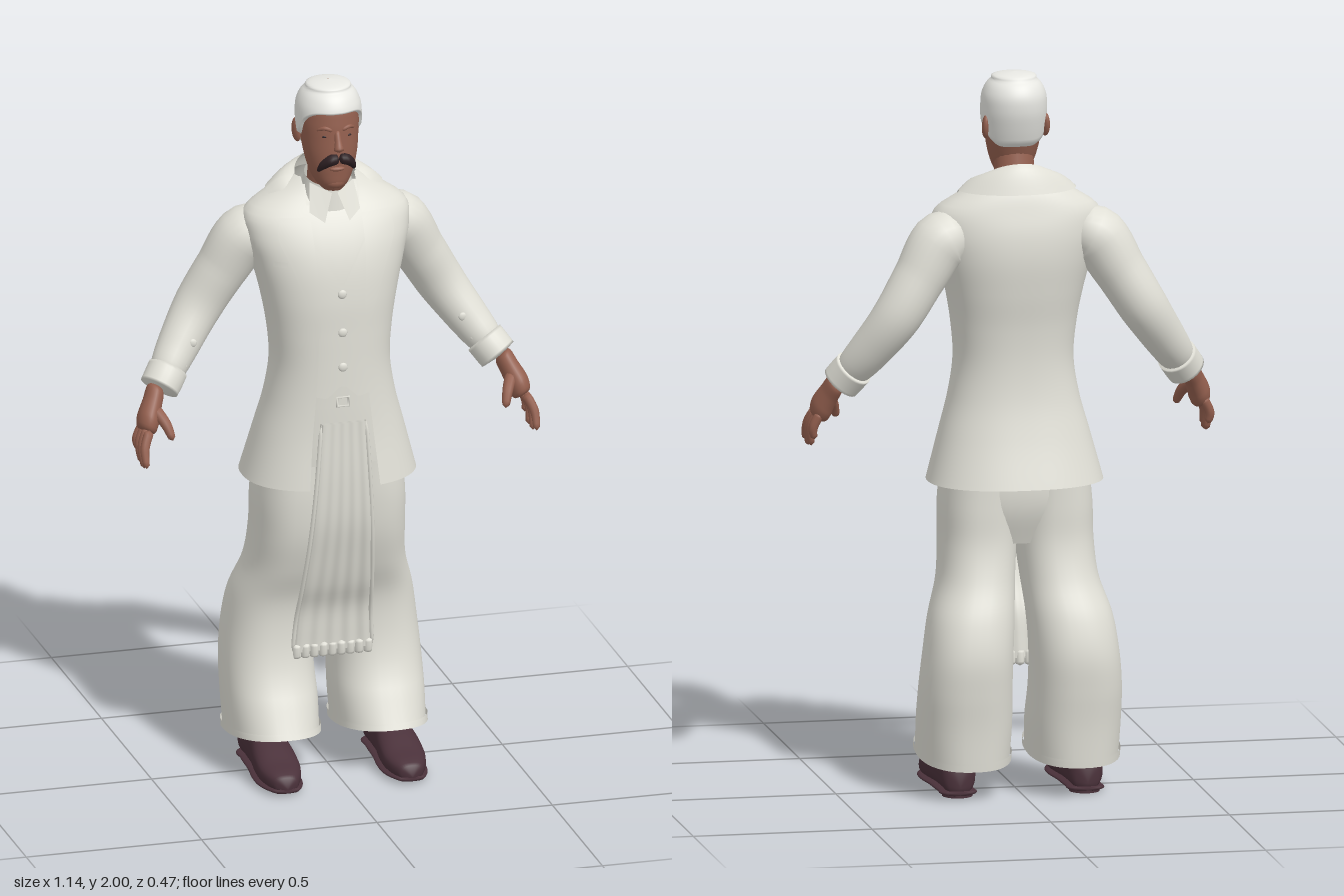
import * as THREE from 'three';
import { mergeVertices } from 'three/addons/utils/BufferGeometryUtils.js';

const mat = (name, color) => new THREE.MeshStandardMaterial({ name, color, side: THREE.DoubleSide });
const suit = mat('cream cloth', 0xe0dfd6), skin = mat('skin', 0x94604f), hairMat = mat('white hair', 0xe8e8e3);
const leather = mat('dark leather', 0x4a313a), dark = mat('dark moustache', 0x2f2124);

// Surface from a function of (u, v), smooth and welded
function sheet(nu, nv, fn) {
  const pos = [], idx = [];
  for (let j = 0; j <= nv; j++) for (let i = 0; i <= nu; i++) pos.push(...fn(i / nu, j / nv));
  for (let j = 0; j < nv; j++) for (let i = 0; i < nu; i++) {
    const a = j * (nu + 1) + i, d = a + nu + 1;
    idx.push(a, a + 1, d + 1, a, d + 1, d);
  }
  const g = new THREE.BufferGeometry();
  g.setAttribute('position', new THREE.Float32BufferAttribute(pos, 3));
  g.setIndex(idx);
  const m = mergeVertices(g, 1e-5);
  m.computeVertexNormals();
  return m;
}
function add(parent, name, geo, material, pos = [0, 0, 0]) {
  const m = new THREE.Mesh(geo, material);
  m.name = name;
  m.position.set(...pos);
  parent.add(m);
  return m;
}
// Smooth lookup in a table whose first column ascends
function table(rows) {
  const n = rows[0].length - 1;
  const it = new THREE.CubicInterpolant(rows.map(r => r[0]), rows.flatMap(r => r.slice(1)), n);
  return y => [...it.evaluate(y)];
}
const spow = (v, p) => Math.sign(v) * Math.pow(Math.abs(v), p);
const lerp = THREE.MathUtils.lerp;
// Point on a rounded cross-section [centre x, half width, front z, back z]
function ring([cx, w, zf, zb], y, t, p = 0.85, grow = 0) {
  return [cx + (w + grow) * spow(Math.sin(t), p), y,
    (zf + zb) / 2 + ((zf - zb) / 2 + grow) * spow(Math.cos(t), p)];
}
const loft = (tab, y0, y1, nv, p, grow) =>
  sheet(40, nv, (u, v) => { const y = lerp(y0, y1, v); return ring(tab(y), y, u * 2 * Math.PI, p, grow); });
// Round limb through [x, y, z, radius] points; higher flat = squarer ends
function limb(pts, flat = 10, nu = 20, nv = 20) {
  const c = new THREE.CatmullRomCurve3(pts.map(p => new THREE.Vector3(p[0], p[1], p[2])));
  const f = c.computeFrenetFrames(nv, false);
  return sheet(nu, nv, (u, v) => {
    const j = Math.round(v * nv), k = c.getUtoTmapping(v) * (pts.length - 1);
    const i = Math.min(Math.floor(k), pts.length - 2);
    const r = lerp(pts[i][3], pts[i + 1][3], k - i) * Math.sqrt(Math.max(0, 1 - Math.pow(2 * v - 1, flat)));
    const a = u * 2 * Math.PI;
    return c.getPointAt(v).addScaledVector(f.normals[j], r * Math.cos(a))
      .addScaledVector(f.binormals[j], r * Math.sin(a)).toArray();
  });
}

// Cross-section tables: y, centre x, half width, front z, back z
const coat = table([[0.865, 0, 0.243, 0.195, -0.19], [1.0, 0, 0.207, 0.175, -0.15], [1.1, 0, 0.18, 0.168, -0.128],
  [1.2, 0, 0.165, 0.165, -0.12], [1.3, 0, 0.172, 0.163, -0.125], [1.4, 0, 0.19, 0.16, -0.14], [1.5, 0, 0.215, 0.145, -0.15],
  [1.57, 0, 0.232, 0.12, -0.145], [1.63, 0, 0.225, 0.085, -0.13], [1.675, 0, 0.16, 0.05, -0.115], [1.72, 0, 0.088, 0.03, -0.09]]);
const opening = table([[0.865, 0.1], [1.0, 0.088], [1.1, 0.078], [1.2, 0.07], [1.4, 0.067], [1.55, 0.075], [1.72, 0.076]]);
const trunk = table([[0.7, 0, 0.14, 0.1, -0.1], [0.8, 0, 0.196, 0.138, -0.135], [0.9, 0, 0.196, 0.148, -0.14],
  [1.05, 0, 0.17, 0.152, -0.12], [1.15, 0, 0.15, 0.152, -0.1]]);
const leg = table([[0.1, 0.152, 0.124, 0.15, -0.205], [0.2, 0.152, 0.128, 0.112, -0.212], [0.3, 0.153, 0.126, 0.072, -0.224],
  [0.4, 0.148, 0.122, 0.056, -0.229], [0.5, 0.137, 0.117, 0.062, -0.208], [0.6, 0.117, 0.106, 0.1, -0.166],
  [0.7, 0.108, 0.106, 0.13, -0.142], [0.8, 0.106, 0.106, 0.143, -0.14], [0.92, 0.1, 0.1, 0.145, -0.14]]);
const skull = table([[1.7, 0, 0.03, 0.088, 0.0], [1.72, 0, 0.046, 0.1, -0.012], [1.75, 0, 0.06, 0.105, -0.028],
  [1.8, 0, 0.073, 0.109, -0.048], [1.85, 0, 0.079, 0.108, -0.066], [1.9, 0, 0.082, 0.105, -0.078],
  [1.945, 0, 0.077, 0.095, -0.074], [1.975, 0, 0.057, 0.07, -0.05], [1.99, 0, 0.03, 0.04, -0.02], [1.992, 0, 0.002, 0.012, 0.008]]);
// Front z of the coat at a given x
function coatZ(x, y) {
  const [, w, zf, zb] = coat(y), s = Math.min(1, Math.pow(Math.abs(x) / w, 1 / 0.85));
  return (zf + zb) / 2 + (zf - zb) / 2 * Math.pow(1 - s * s, 0.425);
}
const button = r => new THREE.SphereGeometry(r, 14, 8).scale(1, 1, 0.45);

function clothes(g) {
  // Coat, open down the front
  add(g, 'coat', sheet(64, 56, (u, v) => {
    const y = lerp(0.865, 1.72, v), s = coat(y);
    const t0 = Math.asin(Math.min(1, Math.pow(opening(y)[0] / s[1], 1 / 0.85)));
    return ring(s, y, lerp(t0, 2 * Math.PI - t0, u));
  }), suit);
  // Shirt body, waistcoat with V neck and pointed hem
  add(g, 'shirt', sheet(40, 30, (u, v) => {
    const y = lerp(1.1, 1.7, v), s = coat(y);
    return ring([0, s[1] * 0.93, s[2] - 0.016, s[3] + 0.012], y, u * 2 * Math.PI);
  }), suit);
  add(g, 'waistcoat', sheet(24, 30, (u, v) => {
    const x = lerp(-0.1, 0.1, u), a = Math.abs(x);
    const y = lerp(1.16 - 0.9 * Math.min(a, 0.045) + 0.2 * Math.max(0, a - 0.045), 1.44 + 1.7 * a, v);
    return [x, y, coatZ(x, y) - 0.007];
  }), suit);
  for (const y of [1.42, 1.31, 1.21]) add(g, 'waistcoatButton', button(0.013), suit, [0, y, coatZ(0, y) - 0.004]);
  // Belt and trouser top
  add(g, 'trouserTop', loft(trunk, 0.7, 1.15, 20, 0.85), suit);
  add(g, 'belt', loft(trunk, 1.09, 1.13, 2, 0.85, 0.007), suit);
  add(g, 'buckle', new THREE.TorusGeometry(0.018, 0.004, 6, 4, Math.PI * 2).rotateZ(Math.PI / 4).scale(1.3, 1, 1), suit, [0, 1.11, 0.162]);
  // Coat collar over the shoulders
  add(g, 'coatCollar', sheet(40, 6, (u, v) => {
    const t = lerp(0.75, 2 * Math.PI - 0.75, u), c = Math.cos(t), s = Math.sin(t), f = Math.max(0, c);
    const lift = 0.014 * Math.sin(v * Math.PI);
    return [s * lerp(0.165, 0.086, v), lerp(1.682 + 0.002 * c - 0.09 * f, 1.715 - 0.045 * c - 0.04 * f, v) + lift,
      lerp(-0.03 + 0.105 * c + 0.03 * f, -0.015 + 0.078 * c + 0.02 * f, v)];
  }), suit);
  // Shirt collar band
  add(g, 'shirtCollar', sheet(32, 3, (u, v) => {
    const t = u * 2 * Math.PI, c = Math.cos(t), r = lerp(0.077, 0.064, v);
    return [r * Math.sin(t), lerp(1.655, 1.725, v) - 0.018 * c, lerp(0, 0.004, v) + r * 1.02 * c];
  }), suit);
  // Breast pocket
  add(g, 'breastPocket', sheet(6, 2, (u, v) => {
    const x = lerp(-0.18, -0.145, u), y = lerp(1.5, 1.515, v);
    return [x, y, coatZ(x, y) + 0.006];
  }), suit);
  // Hanging sash with pleats and fringe
  const fall = table([[0.33, 0.05], [0.4, 0.056], [0.48, 0.068], [0.55, 0.098], [0.65, 0.128], [0.75, 0.152], [0.865, 0.163], [1.05, 0.166]]);
  const half = y => lerp(0.115, 0.064, (y - 0.33) / 0.72);
  add(g, 'sash', sheet(80, 40, (u, v) => {
    const y = lerp(0.35, 1.05, v), front = u < 0.5, k = front ? u * 4 - 1 : 3 - u * 4;
    const fold = 0.003 * Math.cos(k * Math.PI * 5) * (1 - v * 0.6);
    return [k * half(y), y, fall(y)[0] + fold + (u === 0 || u === 1 ? -0.006 : front ? 0.006 : -0.006)];
  }), suit);
  for (const s of [-1, 1]) add(g, 'sashBorder', limb([0.345, 0.45, 0.55, 0.7, 0.87, 1.05].map(
    y => [s * half(y), y, fall(y)[0] + 0.003, 0.006]), 40, 8, 24), suit);
  for (let i = 0; i < 9; i++) {
    const x = (i - 4) * 0.0255;
    add(g, 'sashFringe', limb([[x, 0.375, 0.054, 0.012], [x, 0.35, 0.052, 0.013], [x, 0.328, 0.05, 0.012]], 10, 10, 8), suit);
  }
}

// Parts of one side; mirrored for the other
function side(g) {
  // Lapel with a notch, lying on the coat
  const edge = table([[1.3, 0.07], [1.4, 0.1], [1.5, 0.135], [1.58, 0.165], [1.63, 0.155]]);
  add(g, 'lapel', sheet(8, 24, (u, v) => {
    const y = lerp(1.3, 1.63, v), o = opening(y)[0] - 0.003, x = lerp(o, Math.max(o, edge(y)[0]), u);
    return [x, y, coatZ(x, y) + 0.007];
  }), suit);
  // Shirt collar point
  add(g, 'collarPoint', sheet(6, 6, (u, v) => [lerp(lerp(0.035, 0.072, u), lerp(0.008, 0.062, u), v),
    lerp(lerp(1.615, 1.64, u), lerp(1.69, 1.715, u), v), lerp(lerp(0.105, 0.08, u), lerp(0.078, 0.045, u), v)]), suit);
  // Sleeve, cuff and buttons
  add(g, 'sleeve', limb([[0.14, 1.565, -0.045, 0.07], [0.215, 1.545, -0.055, 0.084], [0.28, 1.45, -0.07, 0.073],
    [0.345, 1.345, -0.077, 0.068], [0.41, 1.25, -0.042, 0.059], [0.475, 1.16, 0.01, 0.048]], 14, 24, 32), suit);
  add(g, 'cuff', limb([[0.447, 1.197, -0.012, 0.056], [0.468, 1.168, 0.005, 0.056], [0.487, 1.142, 0.018, 0.055]], 40, 24, 10), suit);
  for (const p of [[0.385, 1.265, 0.008], [0.415, 1.205, 0.018], [0.45, 1.19, 0.04]]) add(g, 'cuffButton', button(0.012), suit, p);
  // Hand
  const palm = add(g, 'palm', limb([[0.48, 1.155, 0.015, 0.034], [0.505, 1.115, 0.04, 0.036], [0.53, 1.075, 0.06, 0.042],
    [0.545, 1.04, 0.072, 0.038]], 10), skin);
  palm.geometry.translate(-0.52, 0, 0).scale(0.72, 1, 1).translate(0.52, 0, 0);
  [[0.105, 0.15, 0.965], [0.085, 0.117, 0.955], [0.062, 0.083, 0.96], [0.04, 0.048, 0.985]].forEach(([z0, z1, y1], i) =>
    add(g, 'finger', limb([[0.535, 1.06, z0, 0.014], [0.555, 1.015, lerp(z0, z1, 0.5), 0.013],
      [0.556 - i * 0.002, y1, z1, 0.009]], 14, 10, 12), skin));
  add(g, 'thumb', limb([[0.51, 1.105, 0.06, 0.018], [0.487, 1.07, 0.1, 0.015], [0.474, 1.03, 0.125, 0.01]], 12, 10, 12), skin);
  // Wide trouser leg with a slanted hem
  const slant = (p, y) => { p[1] += 0.2 * (p[2] + 0.1) * 0.6 * Math.max(0, 1 - (y - 0.1) / 0.15); return p; };
  add(g, 'trouserLeg', sheet(40, 44, (u, v) => {
    const y = lerp(0.1, 0.92, v);
    return slant(ring(leg(y), y, u * 2 * Math.PI, 0.85), y);
  }), suit);
  add(g, 'trouserHem', sheet(40, 3, (u, v) => {
    const y = lerp(0.1, 0.122, v);
    return slant(ring(leg(y), y, u * 2 * Math.PI, 0.85, 0.005), y);
  }), suit);
  add(g, 'hemUnderside', sheet(40, 4, (u, v) => {
    const [cx, w, zf, zb] = leg(0.1), m = (zf + zb) / 2, d = (zf - zb) / 2 * v;
    return slant(ring([cx, w * v, m + d, m - d], 0.1 + 0.02 * (1 - v), u * 2 * Math.PI), 0.1);
  }), suit);
  // Shoe, sole and heel: z, half width, height
  const shoe = table([[-0.135, 0.012, 0.05], [-0.12, 0.038, 0.1], [-0.06, 0.047, 0.125], [0.03, 0.052, 0.125],
    [0.1, 0.06, 0.1], [0.16, 0.058, 0.075], [0.21, 0.04, 0.058], [0.23, 0.022, 0.045], [0.236, 0.002, 0.03]]);
  const shoePart = (lo, cap, grow) => sheet(28, 36, (u, v) => {
    const z = lerp(-0.135, 0.236, v), [w, h] = shoe(z), a = u * 2 * Math.PI, e = v === 0 || v === 1 ? 0 : 1;
    return [0.178 + e * (w + grow) * spow(Math.cos(a), 0.8),
      lo + (Math.min(h, cap) - lo) * (0.5 + 0.5 * e * spow(Math.sin(a), 0.75)), z + grow * (2 * v - 1)];
  });
  add(g, 'shoe', shoePart(0.008, 1, 0), leather);
  add(g, 'sole', shoePart(0.006, 0.02, 0.004), leather);
  add(g, 'heel', new THREE.CylinderGeometry(0.042, 0.042, 0.018, 20).scale(1, 1, 1.1), leather, [0.178, 0.009, -0.085]);
  // Ear, eye, brow and half moustache
  const ear = add(g, 'ear', new THREE.SphereGeometry(1, 14, 10).scale(0.011, 0.034, 0.02), skin, [0.083, 1.853, -0.012]);
  ear.rotation.set(-0.2, -0.3, 0);
  add(g, 'eye', new THREE.SphereGeometry(1, 12, 8).scale(0.011, 0.004, 0.004), dark, [0.031, 1.864, 0.0975]);
  add(g, 'brow', limb([[0.012, 1.88, 0.104, 0.005], [0.034, 1.889, 0.1, 0.006], [0.054, 1.88, 0.083, 0.004]], 10, 8, 10), skin);
  add(g, 'moustache', limb([[0, 1.804, 0.118, 0.014], [0.02, 1.802, 0.12, 0.016], [0.04, 1.785, 0.106, 0.012],
    [0.053, 1.762, 0.09, 0.004]], 12, 12, 14), dark);
}

function head(g) {
  add(g, 'neck', limb([[0, 1.6, -0.02, 0.058], [0, 1.7, 0.0, 0.056], [0, 1.8, 0.02, 0.054]], 30), skin);
  add(g, 'head', loft(skull, 1.7, 1.992, 40, 0.95), skin);
  add(g, 'chin', new THREE.SphereGeometry(1, 16, 12).scale(0.032, 0.022, 0.025), skin, [0, 1.726, 0.078]);
  add(g, 'nose', limb([[0, 1.882, 0.099, 0.008], [0, 1.85, 0.114, 0.01], [0, 1.823, 0.123, 0.016]], 10, 12, 12), skin);
  add(g, 'lip', new THREE.SphereGeometry(1, 12, 8).scale(0.022, 0.007, 0.01), skin, [0, 1.77, 0.104]);
  // Short hair with a hairline that drops from brow to nape
  const line = table([[0, 1.925], [0.8, 1.92], [1.2, 1.895], [1.55, 1.85], [1.8, 1.845], [2.1, 1.81], [3.2, 1.795]]);
  add(g, 'hair', sheet(56, 26, (u, v) => {
    const t = u * 2 * Math.PI, low = line(Math.min(t, 2 * Math.PI - t))[0];
    const y = lerp(low, 1.992, Math.sin(v * Math.PI / 2));
    const p = ring(skull(y), y, t, 0.95, v === 0 ? -0.003 : 0.009 * Math.sqrt(1 - v * v));
    p[1] += 0.008 * v;
    return p;
  }), hairMat);
}

export function createModel() {
  const g = new THREE.Group();
  g.name = 'standingMan';
  clothes(g);
  head(g);
  for (const s of [1, -1]) {
    const half = new THREE.Group();
    half.name = s > 0 ? 'leftSide' : 'rightSide';
    half.scale.x = s;
    side(half);
    g.add(half);
  }
  return g;
}
